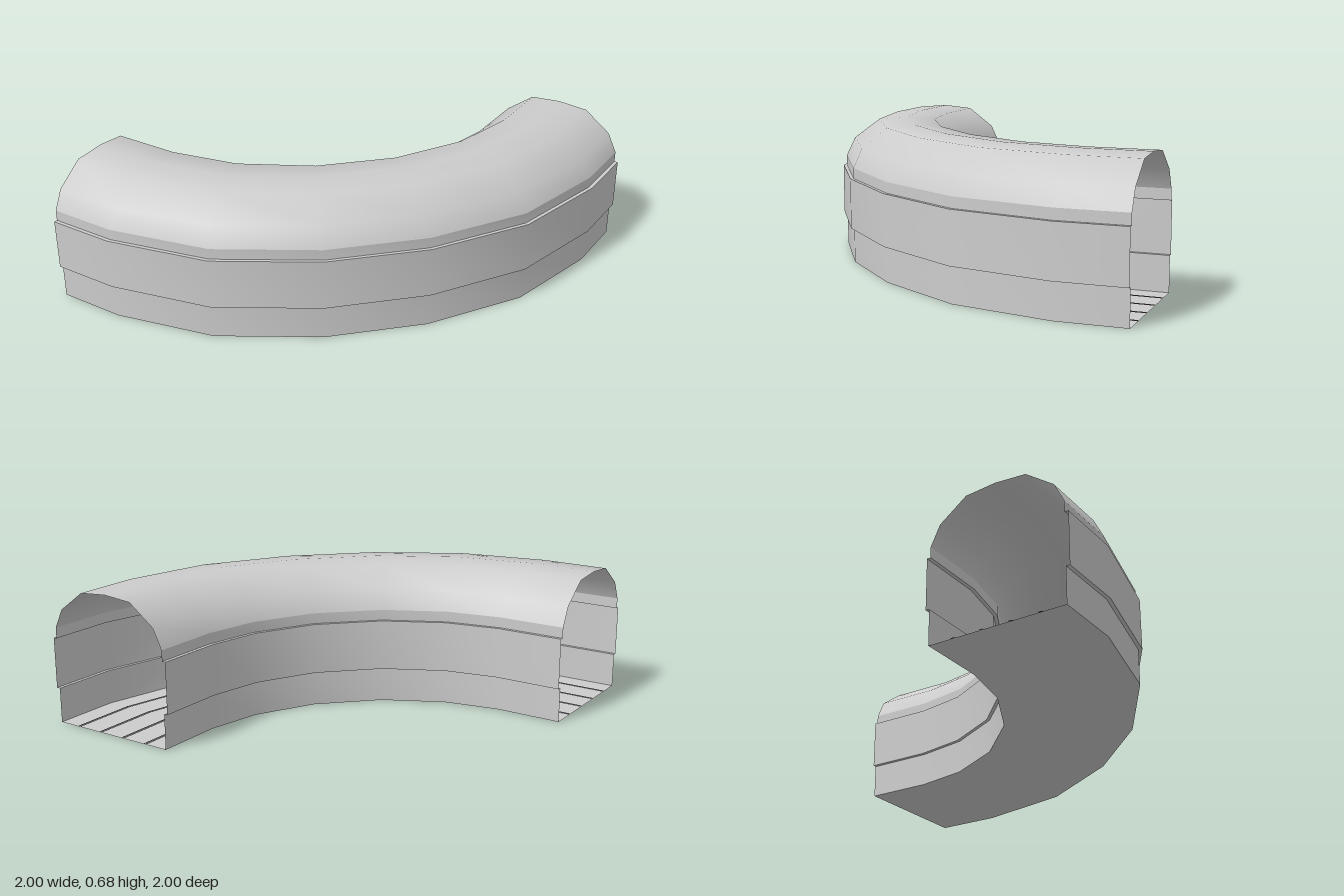
import * as THREE from 'three';

// Stations along the bend: inner and outer edge as [x, z]; the second half mirrors the first.
const half = [
  { inner: [-1, 0.305], outer: [-1, 1] },
  { inner: [-0.67, 0.305], outer: [-0.67, 1] },
  { inner: [-0.41, 0.255], outer: [-0.175, 0.89] },
  { inner: [-0.13, 0.11], outer: [0.265, 0.62] },
];
const swap = ([a, b]) => [b, a];
const stations = [
  ...half,
  ...half.slice().reverse().map((s) => ({ inner: swap(s.inner), outer: swap(s.outer) })),
];

// Sweeps a profile of [u, y] points along the bend; u runs from inner (0) to outer (1).
function sweep(profile) {
  const positions = [];
  const indices = [];
  const n = profile.length;
  stations.forEach(({ inner, outer }, i) => {
    profile.forEach(([u, y], j) => {
      positions.push(
        THREE.MathUtils.lerp(inner[0], outer[0], u), y,
        THREE.MathUtils.lerp(inner[1], outer[1], u),
      );
      if (i + 1 < stations.length && j + 1 < n) {
        const a = i * n + j;
        const b = a + n;
        indices.push(a, b, a + 1, b, b + 1, a + 1);
      }
    });
  });
  const geometry = new THREE.BufferGeometry();
  geometry.setAttribute('position', new THREE.Float32BufferAttribute(positions, 3));
  geometry.setIndex(indices);
  geometry.computeVertexNormals();
  return geometry;
}

export function createModel() {
  const group = new THREE.Group();
  const shell = new THREE.MeshStandardMaterial({ color: 0xcccccc, side: THREE.DoubleSide });
  shell.name = 'light grey shell';
  const dark = new THREE.MeshStandardMaterial({ color: 0x555555, side: THREE.DoubleSide });
  dark.name = 'dark grey lines';

  const add = (name, profile, material = shell) => {
    const mesh = new THREE.Mesh(sweep(profile), material);
    mesh.name = name;
    group.add(mesh);
  };

  // Side walls with a slightly raised band; separate strips keep the edges sharp
  const w = 0.026;
  const walls = {
    lowerWall: [[1 - w, 0], [1 - w, 0.17]],
    bandUnderside: [[1 - w, 0.17], [1, 0.17]],
    band: [[1, 0.17], [1, 0.418]],
    bandTop: [[1, 0.418], [1 - w, 0.418]],
    upperWall: [[1 - w, 0.418], [1 - w, 0.47]],
  };
  for (const [name, profile] of Object.entries(walls)) {
    add(`${name}Outer`, profile);
    add(`${name}Inner`, profile.map(([u, y]) => [1 - u, y]).reverse());
  }

  // Rounded roof
  const rise = [[1 - w, 0.47], [0.907, 0.565], [0.715, 0.663]];
  add('roof', [...rise, [0.5, 0.675], ...rise.map(([u, y]) => [1 - u, y]).reverse()]);

  // Floor and the thin lines running along it
  add('floor', [[w, 0], [1 - w, 0]]);
  for (const u of [0.2, 0.4, 0.6, 0.8]) {
    add('floorLine', [[u + 0.014, 0.004], [u - 0.014, 0.004]], dark);
  }
  return group;
}
